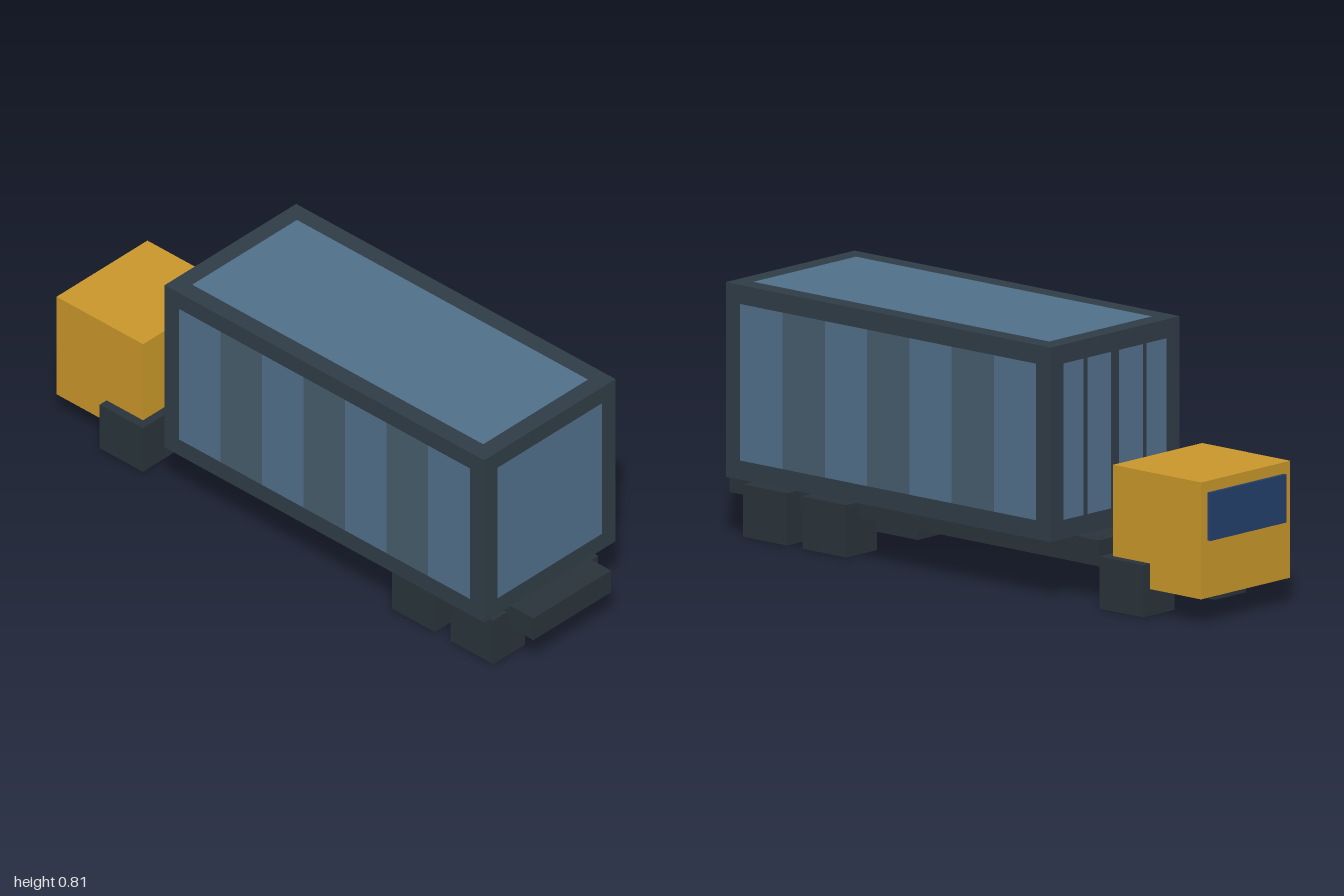
import * as THREE from 'three';

const mat = (color, side = THREE.FrontSide) =>
  new THREE.MeshStandardMaterial({ color, side, flatShading: true });

const dark = mat(0x29333a);
const yellow = mat(0xc8962a);
const glass = mat(0x24406c);
const frameMat = mat(0x303c46, THREE.DoubleSide);
const panelMat = mat(0x516f8a, THREE.DoubleSide);
const ribMat = mat(0x465c6c, THREE.DoubleSide);

const BORDER = 0.06;

// Box given by its min and max corners
function box(name, material, [x0, x1], [y0, y1], [z0, z1]) {
  const m = new THREE.Mesh(new THREE.BoxGeometry(x1 - x0, y1 - y0, z1 - z0), material);
  m.name = name;
  m.position.set((x0 + x1) / 2, (y0 + y1) / 2, (z0 + z1) / 2);
  return m;
}

function rectangle(target, x0, x1, y0, y1) {
  target.moveTo(x0, y0);
  target.lineTo(x1, y0);
  target.lineTo(x1, y1);
  target.lineTo(x0, y1);
  target.closePath();
  return target;
}

// Thin wall facing +z: a frame with openings, each filled by flush strips
function wall(name, w, h, openings, strips = 1) {
  const g = new THREE.Group();
  g.name = name;
  const y = h / 2 - BORDER;
  const frame = rectangle(new THREE.Shape(), -w / 2, w / 2, -h / 2, h / 2);
  for (const [a, b] of openings) {
    frame.holes.push(rectangle(new THREE.Path(), a, b, -y, y));
    const step = (b - a) / strips;
    for (let i = 0; i < strips; i++) {
      const panel = new THREE.Mesh(new THREE.PlaneGeometry(step, 2 * y), i % 2 ? ribMat : panelMat);
      panel.name = i % 2 ? 'rib' : 'panel';
      panel.position.x = a + (i + 0.5) * step;
      g.add(panel);
    }
  }
  const rim = new THREE.Mesh(new THREE.ShapeGeometry(frame), frameMat);
  rim.name = 'frame';
  g.add(rim);
  return g;
}

// Cargo container, open underneath
function createContainer() {
  const W = 0.59, H = 0.614, L = 1.35;
  const full = (w) => [[-w / 2 + BORDER, w / 2 - BORDER]];
  const g = new THREE.Group();
  g.name = 'container';

  const endWall = wall('endWall', W, H, full(W));
  endWall.position.z = L / 2;

  // Double door: two panels on each leaf
  const doorWall = wall('doorWall', W, H,
    [[-0.235, -0.145], [-0.127, -0.018], [0.018, 0.127], [0.145, 0.235]]);
  doorWall.position.z = -L / 2;
  doorWall.rotation.y = Math.PI;

  const roof = wall('roof', W, L, full(W));
  roof.position.y = H / 2;
  roof.rotation.x = -Math.PI / 2;
  g.add(endWall, doorWall, roof);

  for (const s of [1, -1]) {
    const side = wall(s > 0 ? 'leftWall' : 'rightWall', L, H, full(L), 7);
    side.position.x = s * W / 2;
    side.rotation.y = s * Math.PI / 2;
    g.add(side);
  }
  g.position.set(0, 0.197 + H / 2, 0.23);
  return g;
}

export function createModel() {
  const model = new THREE.Group();
  model.name = 'truck';

  model.add(createContainer());
  model.add(box('chassis', dark, [-0.174, 0.174], [0.114, 0.196], [-0.537, 1]));

  // Cab and windscreen
  model.add(box('cab', yellow, [-0.204, 0.204], [0.084, 0.453], [-0.988, -0.622]));
  model.add(box('windscreen', glass, [-0.174, 0.174], [0.265, 0.417], [-1, -0.98]));

  // Block wheels on three axles
  for (const z of [-0.685, 0.55, 0.797]) {
    for (const s of [1, -1]) {
      const x = s > 0 ? [0.093, 0.235] : [-0.235, -0.093];
      model.add(box(s > 0 ? 'leftWheel' : 'rightWheel', dark, x, [0, 0.165], [z - 0.091, z + 0.091]));
    }
  }
  return model;
}
